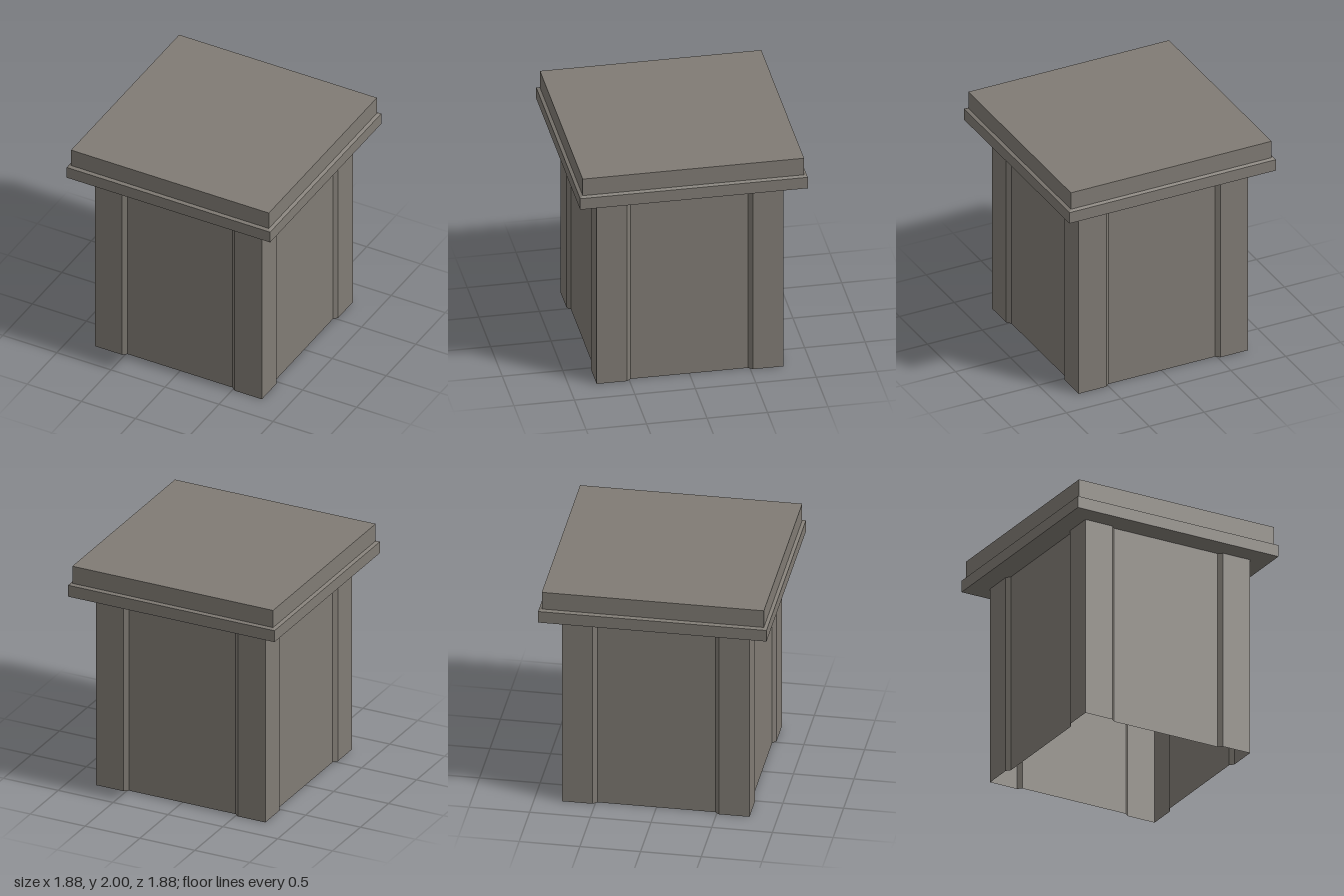
import * as THREE from 'three';

const HALF = 0.772;     // half width of the pillar at its corner piers
const RECESS = 0.03;    // depth of the sunken panels
const CAP_BASE = 1.732; // height where the cap starts

// Hard-edged shading without sharing vertices
function faceted(geometry) {
  const g = geometry.index ? geometry.toNonIndexed() : geometry;
  g.computeVertexNormals();
  return g;
}

// Outline of one pillar side (x, z), repeated by quarter turns
function pillarOutline() {
  const side = [
    [-HALF, HALF], [-0.52, HALF], [-0.485, HALF - RECESS],
    [0.485, HALF - RECESS], [0.52, HALF],
  ];
  const loop = [];
  for (let k = 0; k < 4; k++) {
    const c = Math.round(Math.cos(k * Math.PI / 2));
    const s = Math.round(Math.sin(k * Math.PI / 2));
    for (const [x, z] of side) loop.push([x * c + z * s, z * c - x * s]);
  }
  return loop;
}

// Vertical walls along a closed outline, open at both ends
function wallGeometry(loop, y0, y1) {
  const p = [];
  loop.forEach(([ax, az], i) => {
    const [bx, bz] = loop[(i + 1) % loop.length];
    p.push(ax, y0, az, bx, y0, bz, bx, y1, bz);
    p.push(ax, y0, az, bx, y1, bz, ax, y1, az);
  });
  const g = new THREE.BufferGeometry();
  g.setAttribute('position', new THREE.Float32BufferAttribute(p, 3));
  return faceted(g);
}

export function createModel() {
  const stone = new THREE.MeshStandardMaterial({ color: 0x807b74, side: THREE.DoubleSide });
  stone.name = 'warm grey stone';
  const model = new THREE.Group();
  model.name = 'stonePillar';

  // Hollow pillar with sunken panels between corner piers
  const pillar = new THREE.Mesh(wallGeometry(pillarOutline(), 0, CAP_BASE), stone);
  pillar.name = 'pillarWalls';
  model.add(pillar);

  // Square cap: ledge, sloped shoulder and top slab (half width, height)
  const profile = [
    [0, CAP_BASE], [0.941, CAP_BASE], [0.941, 1.834],
    [0.915, 1.846], [0.915, 2], [0, 2],
  ].map(([r, y]) => new THREE.Vector2(r * Math.SQRT2, y));
  const cap = new THREE.Mesh(faceted(new THREE.LatheGeometry(profile, 4, Math.PI / 4)), stone);
  cap.name = 'cap';
  model.add(cap);

  return model;
}
